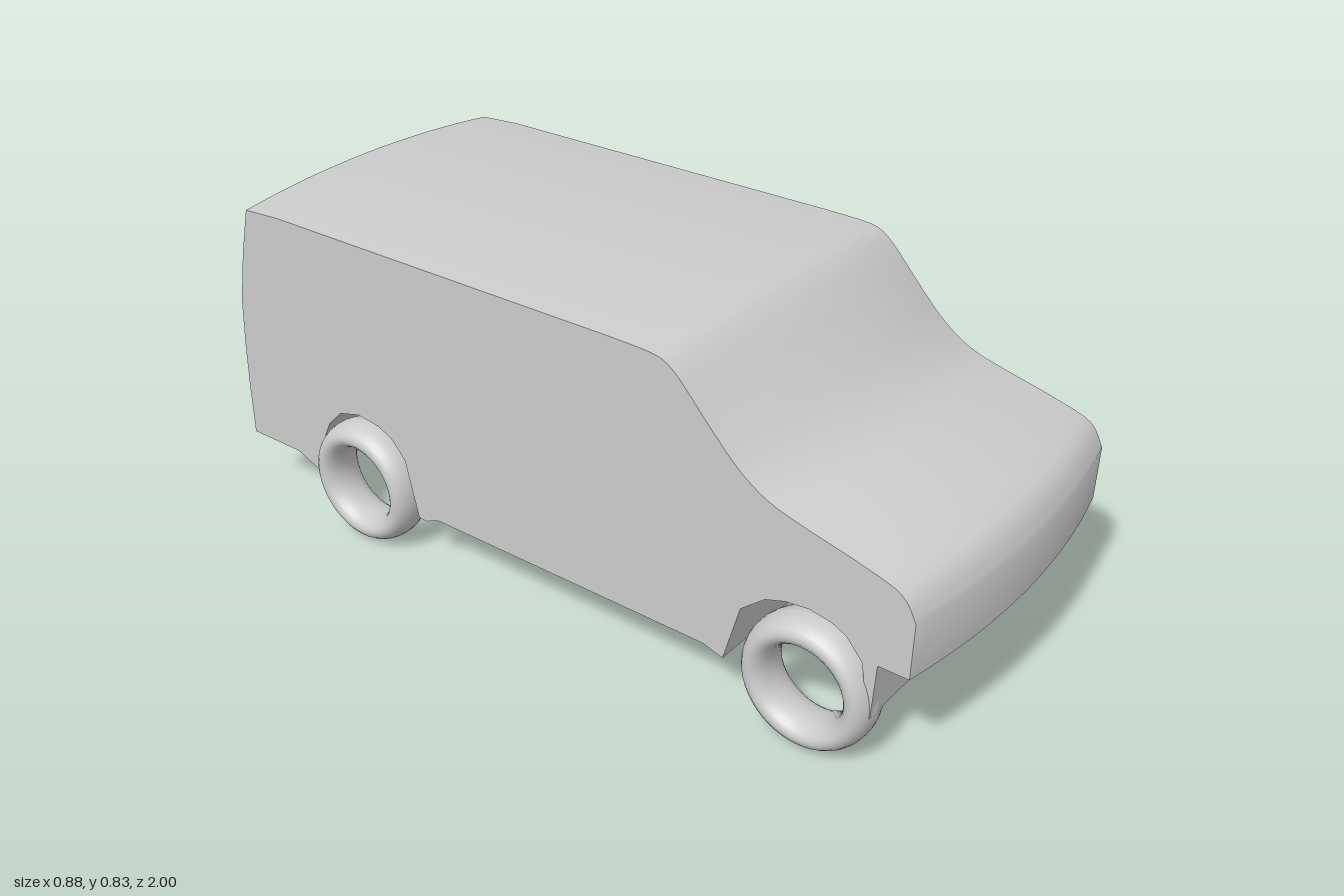
import * as THREE from 'three';
import { toCreasedNormals } from 'three/addons/utils/BufferGeometryUtils.js';

const material = new THREE.MeshStandardMaterial({ color: 0xcccccc });
const smooth = THREE.MathUtils.smoothstep;

// Side profile as [z, y] pairs, counter-clockwise when z points right
const underside = [
  [-0.985, 0.165], [-0.82, 0.165], [-0.743, 0.134],
  // rear wheel arch
  [-0.72, 0.23], [-0.69, 0.29], [-0.645, 0.335], [-0.58, 0.353], [-0.515, 0.345], [-0.47, 0.325], [-0.43, 0.28],
  [-0.395, 0.13], [-0.37, 0.13], [-0.33, 0.147], [0.455, 0.147], [0.508, 0.132],
  // front wheel arch
  [0.55, 0.28], [0.61, 0.33], [0.66, 0.347], [0.717, 0.353], [0.77, 0.344], [0.805, 0.327], [0.845, 0.28], [0.866, 0.15],
  // lower front panel and nose
  [0.872, 0.15], [0.88, 0.288], [0.952, 0.288],
];
const upper = [
  [0.955, 0.423], [0.92, 0.477], [0.83, 0.508], [0.7, 0.54], [0.61, 0.567], [0.535, 0.615],
  [0.46, 0.69], [0.41, 0.745], [0.365, 0.788], [0.32, 0.806], [0.2, 0.81],
];
const back = [[-0.8, 0.81], [-0.912, 0.803], [-0.945, 0.68], [-0.972, 0.55], [-0.981, 0.42], [-0.985, 0.3]];

function createBody() {
  const toVec = ([z, y]) => new THREE.Vector2(z, y);
  const outline = [
    ...underside.map(toVec),
    ...new THREE.SplineCurve(upper.map(toVec)).getPoints(40),
    ...back.map(toVec),
  ];
  const left = 0.43, right = -0.41, half = (left - right) / 2, mid = (left + right) / 2;
  const geometry = new THREE.ExtrudeGeometry(new THREE.Shape(outline), {
    depth: left - right, steps: 20, bevelEnabled: false,
  });
  geometry.rotateY(-Math.PI / 2).translate(left, 0, 0);

  // Crown the outer skin towards the centre line
  const p = geometry.attributes.position;
  for (let i = 0; i < p.count; i++) {
    const y = p.getY(i), z = p.getZ(i);
    if (y < 0.36 && Math.abs(z) < 0.9) continue;
    const u = (p.getX(i) - mid) / half;
    const crown = Math.max(0, 1 - u * u);
    const forward = 0.045 * smooth(z, 0.25, 0.6);
    const rearward = 0.014 * smooth(-z, 0.8, 0.91);
    p.setZ(i, z + crown * (forward - rearward));
    p.setY(i, y + crown * 0.02 * smooth(y, 0.41, 0.56));
  }
  const body = new THREE.Mesh(toCreasedNormals(geometry, 0.5), material);
  body.name = 'body';
  return body;
}

// Hollow tyre ring with an oval section
function createTyreGeometry() {
  const section = [];
  for (let i = 0; i <= 24; i++) {
    const t = (i / 24) * Math.PI * 2;
    section.push(new THREE.Vector2(0.126 + 0.034 * Math.cos(t), 0.0575 * Math.sin(t)));
  }
  return new THREE.LatheGeometry(section, 48).rotateZ(Math.PI / 2);
}

export function createModel() {
  const model = new THREE.Group();
  model.name = 'van';
  model.add(createBody());

  const tyre = createTyreGeometry();
  for (const [end, z] of [['front', 0.715], ['rear', -0.58]]) {
    for (const [side, s] of [['Left', 1], ['Right', -1]]) {
      const wheel = new THREE.Mesh(tyre, material);
      wheel.name = `${end}${side}Wheel`;
      wheel.position.set(s * 0.3825, 0.162, z);
      model.add(wheel);
    }
  }
  return model;
}
